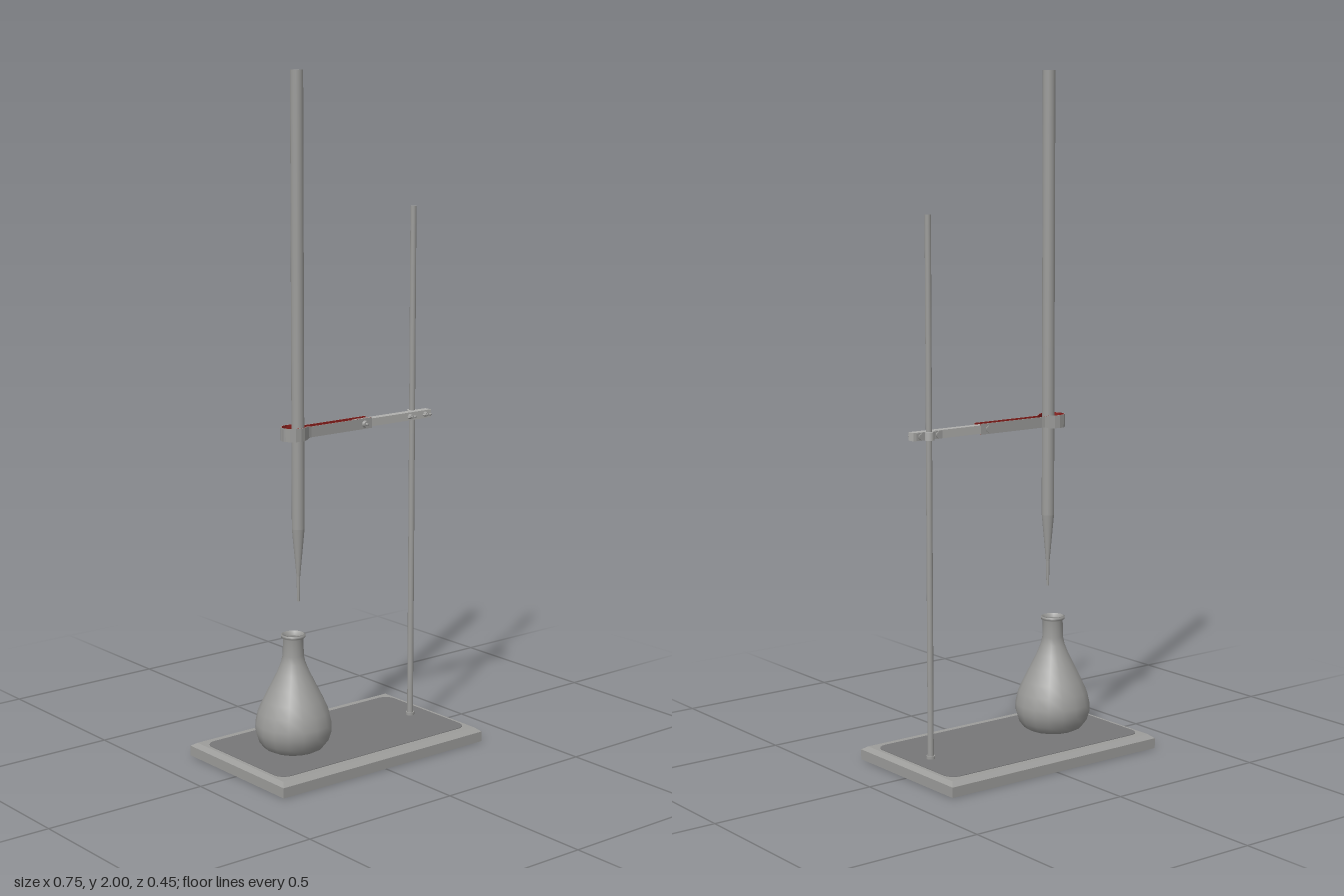
import * as THREE from 'three';

const mat = (name, color, side = THREE.FrontSide) => {
  const m = new THREE.MeshStandardMaterial({ color, side });
  m.name = name;
  return m;
};

export function createModel() {
  const root = new THREE.Group();
  root.name = 'titrationStand';
  const grey = mat('grey metal', 0x9c9c9a);
  const panelGrey = mat('dark panel grey', 0x777778);
  const pale = mat('pale metal', 0xb0b0ae);
  const glass = mat('flask grey', 0x9c9c9a, THREE.DoubleSide);
  const red = mat('red liner', 0x8c1f1c);
  const AXIS = 0.0135; // z of the clamp centreline
  const MID = 0.981;   // height of the clamp

  const add = (name, geo, material, x = 0, y = 0, z = 0, parent = root) => {
    const mesh = new THREE.Mesh(geo, material);
    mesh.name = name;
    mesh.position.set(x, y, z);
    parent.add(mesh);
    return mesh;
  };

  // Base slab with a chamfered upper edge
  add('baseSlab', new THREE.BoxGeometry(0.752, 0.03, 0.45), grey, 0, 0.015, 0);
  const chamfer = new THREE.BoxGeometry(0.752, 0.011, 0.45);
  const cp = chamfer.attributes.position;
  for (let i = 0; i < cp.count; i++) {
    if (cp.getY(i) > 0) {
      cp.setX(i, Math.sign(cp.getX(i)) * 0.363);
      cp.setZ(i, Math.sign(cp.getZ(i)) * 0.207);
    }
  }
  chamfer.computeVertexNormals();
  add('baseChamfer', chamfer, grey, 0, 0.0355, 0);

  // Thin rounded panels above and below the slab
  const roundedPanel = (w, d, r) => {
    const s = new THREE.Shape();
    const corners = [[w - r, d - r, 0], [r - w, d - r, 1], [r - w, r - d, 2], [w - r, r - d, 3]];
    corners.forEach(([x, y, k]) => s.absarc(x, y, r, k * Math.PI / 2, (k + 1) * Math.PI / 2));
    s.closePath();
    return new THREE.ExtrudeGeometry(s, { depth: 0.003, bevelEnabled: false, curveSegments: 6 })
      .rotateX(Math.PI / 2);
  };
  add('topPanel', roundedPanel(0.352, 0.185, 0.035), panelGrey, 0, 0.0425, 0);
  add('undersidePanel', roundedPanel(0.352, 0.185, 0.035), panelGrey, 0, 0.002, 0);

  // Upright rod and its collar
  add('rod', new THREE.CylinderGeometry(0.009, 0.009, 1.56, 16), grey, 0.29, 0.82, -0.004);
  add('rodCollar', new THREE.CylinderGeometry(0.013, 0.013, 0.01, 16), grey, 0.29, 0.046, -0.004);

  // Open flask
  const flaskProfile = [
    [0, 0.045], [0.072, 0.045], [0.088, 0.053], [0.103, 0.072], [0.112, 0.1], [0.112, 0.125],
    [0.104, 0.16], [0.088, 0.195], [0.068, 0.235], [0.048, 0.275], [0.036, 0.305],
    [0.031, 0.328], [0.03, 0.378], [0.036, 0.382], [0.036, 0.389], [0.031, 0.391], [0.027, 0.378],
  ].map(([r, y]) => new THREE.Vector2(r, y));
  add('flask', new THREE.LatheGeometry(flaskProfile, 16), glass, -0.175, 0, 0.0125);

  // Burette: tube, taper and tip
  const burette = new THREE.Group();
  burette.name = 'burette';
  burette.position.set(-0.156, 0, 0.0135);
  root.add(burette);
  const tube = (name, rTop, rBottom, y0, y1) =>
    add(name, new THREE.CylinderGeometry(rTop, rBottom, y1 - y0, 16), grey, 0, (y0 + y1) / 2, 0, burette);
  tube('buretteTube', 0.0185, 0.0185, 0.7, 2);
  tube('buretteTaper', 0.0185, 0.0055, 0.56, 0.7);
  tube('buretteTip', 0.0055, 0.004, 0.485, 0.56);

  // Bent strip following half of the jaw outline, from offset a to offset b
  const jawPath = [
    [0.105, 0.0145], [-0.12, 0.0145], [-0.13, 0.0165], [-0.142, 0.0235], [-0.156, 0.0315],
    [-0.172, 0.0345], [-0.188, 0.031], [-0.2, 0.021], [-0.206, 0.01], [-0.2075, 0.001],
  ].map(([x, y]) => new THREE.Vector2(x, y));
  const jawStrip = (side, a, b) => {
    const offset = (d) => jawPath.map((p, i) => {
      const t = jawPath[Math.min(i + 1, jawPath.length - 1)].clone()
        .sub(jawPath[Math.max(i - 1, 0)]).normalize();
      return new THREE.Vector2(p.x - t.y * d, (p.y + t.x * d) * side);
    });
    const shape = new THREE.Shape([...offset(a), ...offset(b).reverse()]);
    const geo = new THREE.ExtrudeGeometry(shape, { depth: 0.038, bevelEnabled: false });
    geo.rotateX(Math.PI / 2).translate(0, 0.019, 0);
    const p = geo.attributes.position;
    // The straight part is lower than the gripping end
    for (let i = 0; i < p.count; i++) if (p.getX(i) > -0.135) p.setY(i, p.getY(i) * 0.82);
    return geo;
  };
  for (const side of [1, -1]) {
    const label = side > 0 ? 'front' : 'back';
    add(label + 'Jaw', jawStrip(side, 0.0005, -0.0018), grey, 0, MID, AXIS);
    add(label + 'JawLiner', jawStrip(side, 0.002, 0.0005), red, 0, MID, AXIS);
  }

  // Clamp arm, with a strap around the rod
  add('clampArm', new THREE.BoxGeometry(0.285, 0.024, 0.024), pale, 0.197, 0.98, 0.0125);
  add('clampBackPlate', new THREE.BoxGeometry(0.09, 0.022, 0.004), grey, 0.288, 0.98, -0.002);
  add('rodStrap', new THREE.CylinderGeometry(0.014, 0.014, 0.024, 16), pale, 0.29, 0.98, -0.006);

  // Bolts lie along z, from the back head to the front nut
  const bolt = (x, zBack, zFront, parent) => {
    const pin = add('boltPin', new THREE.CylinderGeometry(0.004, 0.004, zFront - zBack, 10), grey,
      x, 0.98, (zBack + zFront) / 2, parent);
    pin.rotation.x = Math.PI / 2;
    const head = add('boltHead', new THREE.CylinderGeometry(0.01, 0.01, 0.005, 6), grey,
      x, 0.98, zBack + 0.0025, parent);
    head.rotation.x = Math.PI / 2;
  };
  for (const x of [0.257, 0.317]) {
    const wing = new THREE.Group();
    wing.name = 'wingBolt';
    root.add(wing);
    bolt(x, -0.009, 0.04, wing);
    const hub = add('wingHub', new THREE.CylinderGeometry(0.006, 0.008, 0.009, 12), grey, x, 0.98, 0.029, wing);
    hub.rotation.x = Math.PI / 2;
    for (const s of [-1, 1]) {
      add('wing', new THREE.SphereGeometry(0.006, 10, 8), grey, x + s * 0.011, 0.98, 0.034, wing)
        .scale.set(1.1, 0.6, 1);
    }
  }
  const jawBolt = new THREE.Group();
  jawBolt.name = 'jawBolt';
  root.add(jawBolt);
  bolt(0.079, -0.007, 0.043, jawBolt);
  const nut = add('jawNut', new THREE.CylinderGeometry(0.008, 0.011, 0.007, 12), grey, 0.079, 0.98, 0.033, jawBolt);
  nut.rotation.x = Math.PI / 2;
  add('jawBoltKnob', new THREE.SphereGeometry(0.005, 10, 8), grey, 0.079, 0.98, 0.04, jawBolt);

  return root;
}
